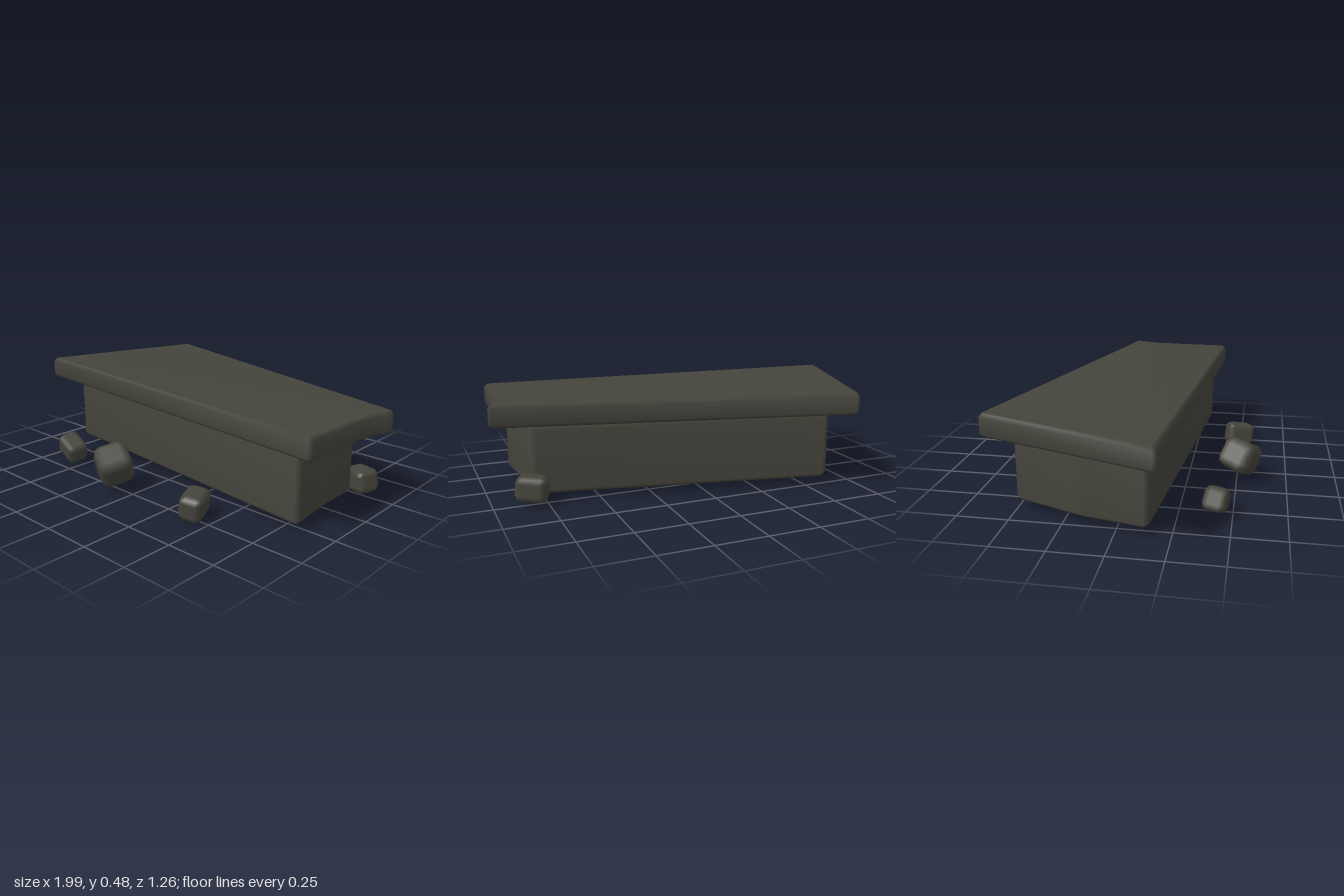
import * as THREE from 'three';
import { mergeVertices } from 'three/addons/utils/BufferGeometryUtils.js';
import { RoundedBoxGeometry } from 'three/addons/geometries/RoundedBoxGeometry.js';

const stone = new THREE.MeshStandardMaterial({ color: 0x45443c });
stone.name = 'dark stone';

// Cut every corner of a plan outline given as [x, z] points
function chamfer(points, cut) {
  const out = [];
  points.forEach((p, i) => {
    const here = new THREE.Vector2(p[0], -p[1]);
    for (const j of [i - 1, i + 1]) {
      const q = points[(j + points.length) % points.length];
      const step = new THREE.Vector2(q[0], -q[1]).sub(here).setLength(cut);
      out.push(step.add(here));
    }
  });
  return out;
}

// Bevelled block raised from a plan outline, smooth over its edges
function block(name, outline, y0, y1, bevel) {
  let geo = new THREE.ExtrudeGeometry(new THREE.Shape(chamfer(outline, bevel * 1.2)), {
    depth: y1 - y0 - 2 * bevel,
    bevelEnabled: true, bevelSegments: 1,
    bevelSize: bevel, bevelThickness: bevel, bevelOffset: -bevel,
  });
  geo.rotateX(-Math.PI / 2);
  geo.translate(0, y0 + bevel, 0);
  // Slight fall of the top and bottom towards the right end
  const pos = geo.attributes.position;
  for (let i = 0; i < pos.count; i++) pos.setY(i, pos.getY(i) - 0.004 * (pos.getX(i) + 1));
  geo.deleteAttribute('normal');
  geo.deleteAttribute('uv');
  geo = mergeVertices(geo, 1e-4);
  geo.computeVertexNormals();
  const mesh = new THREE.Mesh(geo, stone);
  mesh.name = name;
  return mesh;
}

export function createModel() {
  const group = new THREE.Group();
  group.name = 'stoneSlab';

  // Top slab with a worn, hollowed right end
  group.add(block('topSlab', [
    [-1, 0.21], [0.93, 0.37], [0.94, 0.02], [0.95, -0.07], [0.967, -0.14], [1, -0.21], [-0.7, -0.64],
  ], 0.376, 0.485, 0.016));

  // Base block, set in under the slab
  group.add(block('base', [
    [-0.815, 0.15], [0.84, 0.305], [0.81, 0], [0.805, -0.2], [-0.61, -0.515], [-0.745, -0.17],
  ], 0.038, 0.368, 0.02));

  // Loose rubble: centre, size, rotation
  const rubble = [
    [[-0.56, 0.09, 0.425], [0.15, 0.115, 0.11], [0.15, -0.17, -0.4]],
    [[-0.115, 0.135, 0.515], [0.18, 0.16, 0.17], [0.25, -0.5, -0.35]],
    [[0.405, 0.073, 0.49], [0.115, 0.125, 0.15], [0.15, 0.35, -0.2]],
    [[0.82, 0.083, -0.255], [0.15, 0.12, 0.12], [0.05, -0.4, 0.1]],
  ];
  rubble.forEach(([centre, size, turn], i) => {
    const radius = Math.min(...size) * 0.27;
    const mesh = new THREE.Mesh(new RoundedBoxGeometry(...size, 1, radius), stone);
    mesh.position.set(...centre);
    mesh.rotation.set(...turn);
    mesh.name = 'rubble' + (i + 1);
    group.add(mesh);
  });
  return group;
}
